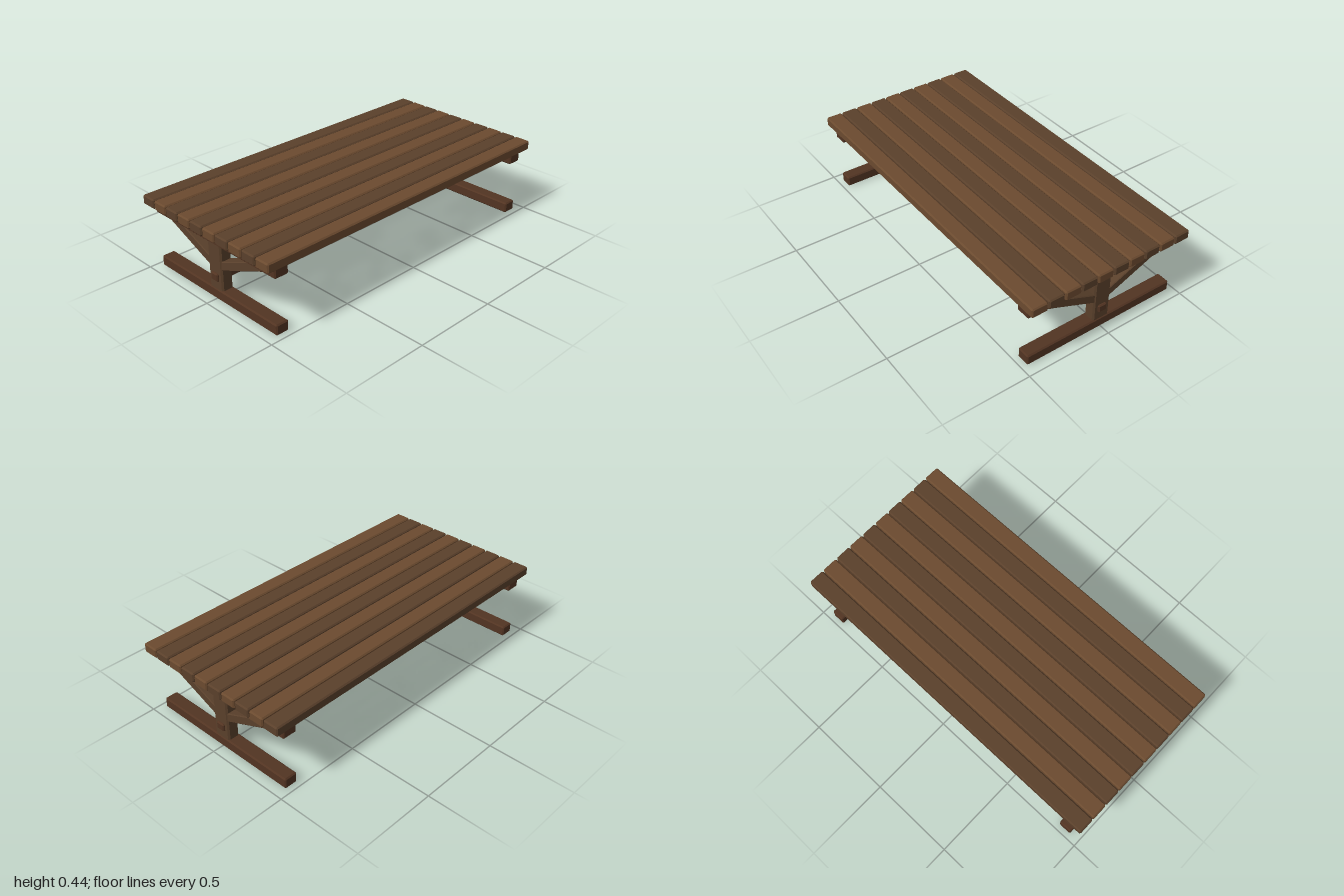
import * as THREE from 'three';
import { ConvexGeometry } from 'three/addons/geometries/ConvexGeometry.js';

const wood = (color) => new THREE.MeshStandardMaterial({ color, flatShading: true });

// Timber with chamfered edges: three corner points at each of the eight corners
function timber(name, [w, h, d], [x, y, z], material, c = 0.007) {
  const points = [];
  for (const sx of [-1, 1]) for (const sy of [-1, 1]) for (const sz of [-1, 1]) {
    const a = w / 2, b = h / 2, e = d / 2;
    points.push(
      new THREE.Vector3(sx * a, sy * (b - c), sz * (e - c)),
      new THREE.Vector3(sx * (a - c), sy * b, sz * (e - c)),
      new THREE.Vector3(sx * (a - c), sy * (b - c), sz * e));
  }
  const mesh = new THREE.Mesh(new ConvexGeometry(points), material);
  mesh.name = name;
  mesh.position.set(x, y, z);
  return mesh;
}

export function createModel() {
  const table = new THREE.Group();
  table.name = 'plankTable';
  const lightWood = wood(0x6b4a2f);
  const darkWood = wood(0x5a402b);
  const frameWood = wood(0x523422);

  // Top: ten planks in alternating tones
  const top = new THREE.Group();
  top.name = 'tableTop';
  for (let i = 0; i < 10; i++) {
    top.add(timber('plank', [2, 0.055, 0.094], [0, 0.41, 0.45 - i * 0.1], i % 2 ? darkWood : lightWood));
  }
  table.add(top);

  // One trestle at each end
  for (const side of [-1, 1]) {
    const trestle = new THREE.Group();
    trestle.name = side > 0 ? 'leftTrestle' : 'rightTrestle';
    trestle.position.x = side * 0.9;
    trestle.add(
      timber('foot', [0.077, 0.062, 0.935], [0, 0.032, 0], frameWood),
      timber('post', [0.068, 0.36, 0.104], [0, 0.225, 0], darkWood, 0.009),
      timber('crossBeam', [0.085, 0.06, 0.95], [0, 0.351, 0], frameWood));

    // Diagonal braces from the post up to the beam
    for (const dir of [-1, 1]) {
      const z0 = 0.02, y0 = 0.194, z1 = 0.39, y1 = 0.349;
      const length = Math.hypot(z1 - z0, y1 - y0);
      const brace = timber('brace', [0.058, 0.049, length],
        [0, (y0 + y1) / 2, dir * (z0 + z1) / 2], darkWood, 0.004);
      brace.rotation.x = -dir * Math.atan2(y1 - y0, z1 - z0);
      trestle.add(brace);
    }
    table.add(trestle);
  }

  // Long rail passing through both posts
  table.add(timber('stretcher', [1.89, 0.047, 0.054], [0, 0.132, 0], frameWood));
  return table;
}
